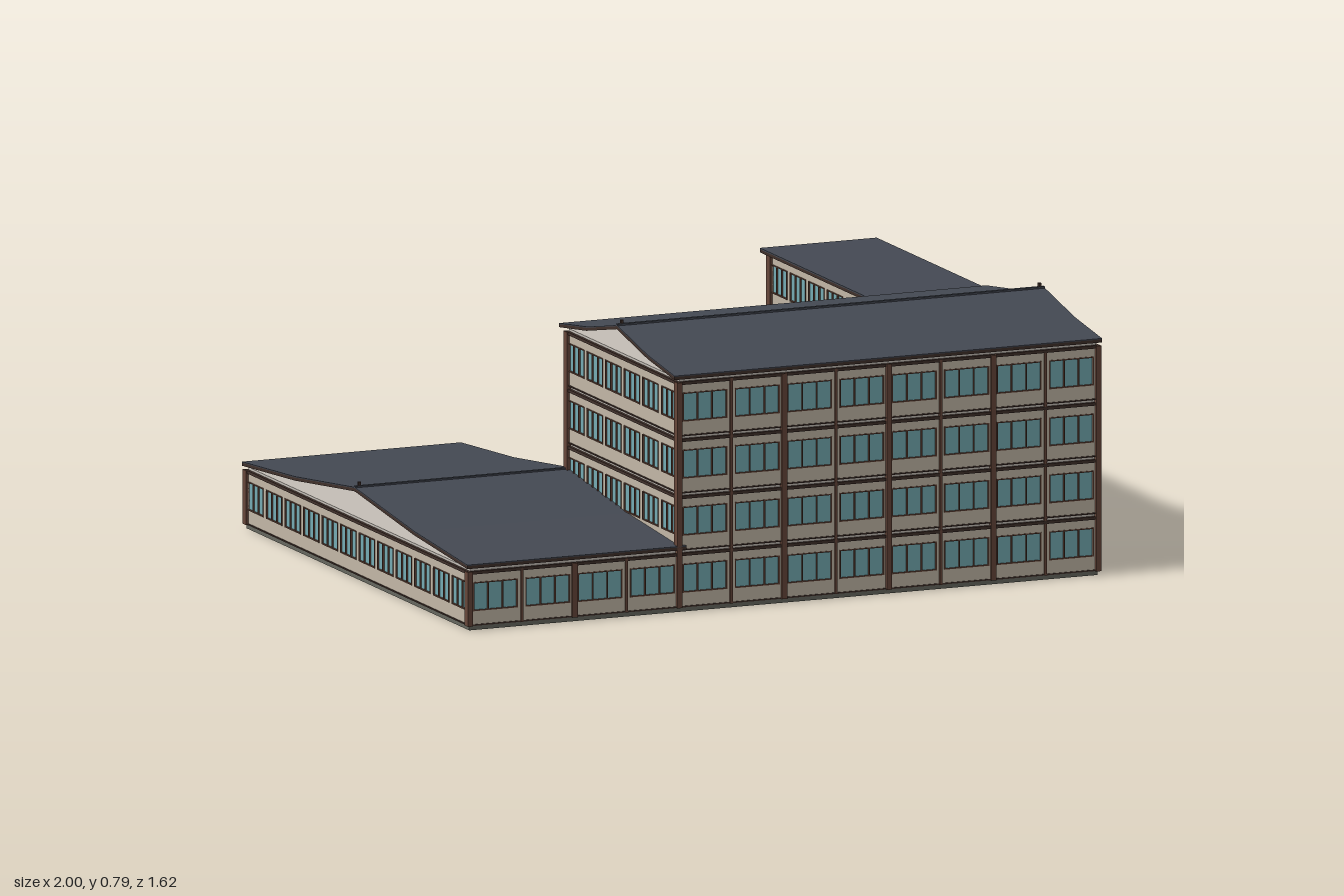
import * as THREE from 'three';
import { mergeGeometries } from 'three/addons/utils/BufferGeometryUtils.js';

const BASE = 0.0125, STOREY = 0.168;

export function createModel() {
  const model = new THREE.Group();
  model.name = 'courtyardBuilding';

  const colours = {
    slate: 0x444953, wall: 0xc2b7a6, glass: 0x74abb3, timber: 0x66473a,
    darkTimber: 0x40302a, concrete: 0xc4beb6, ground: 0x66685f, paving: 0x5f6463,
  };
  const mats = {};
  for (const [name, hex] of Object.entries(colours)) {
    mats[name] = new THREE.MeshStandardMaterial({ color: hex });
    mats[name].name = name;
  }

  // box given by its min and max corners
  const box = (x0, x1, y0, y1, z0, z1) =>
    new THREE.BoxGeometry(x1 - x0, y1 - y0, z1 - z0)
      .translate((x0 + x1) / 2, (y0 + y1) / 2, (z0 + z1) / 2);

  const add = (parent, name, geometry, mat) => {
    const mesh = new THREE.Mesh(geometry, mats[mat]);
    mesh.name = name;
    parent.add(mesh);
    return mesh;
  };

  // wall running from a to b, facing local +z, split into storeys and bays
  function wall(name, [ax, az], [bx, bz], bays, first, last, { pillars = false, open = [] } = {}) {
    const group = new THREE.Group();
    group.name = name;
    const len = Math.hypot(bx - ax, bz - az), w = len / bays, m = w * 0.0725;
    const parts = { wall: [], glass: [], timber: [], darkTimber: [] };
    const T = -0.016; // inner face of the wall

    for (let f = first; f <= last; f++) {
      const y = BASE + STOREY * f, sill = y + 0.043, head = y + 0.128, top = y + 0.152;
      // beam above the storey and rail at its foot
      parts.darkTimber.push(box(-0.003, len + 0.003, top, top + 0.009, T, 0.005));
      parts.darkTimber.push(box(0, len, y, y + 0.004, T, 0.003));
      for (let i = 0; i < bays; i++) {
        const x0 = i * w, x1 = x0 + w, l = x0 + m, r = x1 - m;
        const isOpen = f === 0 && open.includes(i);
        // wall around the opening
        parts.wall.push(box(x0, l, y, top, T, 0), box(r, x1, y, top, T, 0));
        parts.wall.push(box(l, r, head, top, T, 0));
        if (isOpen) {
          for (const x of [l, r - 0.006]) parts.timber.push(box(x, x + 0.006, y, head, T, 0.003));
          continue;
        }
        parts.wall.push(box(l, r, y, sill, T, 0));
        // glass, frame and mullions
        parts.glass.push(box(l, r, sill, head, -0.009, -0.003));
        const t = 0.0035;
        for (const yy of [sill, head - t]) parts.timber.push(box(l, r, yy, yy + t, -0.011, 0.002));
        for (const k of [0, 1 / 3, 2 / 3, 1]) {
          const x = l + t / 2 + (r - l - t) * k;
          parts.timber.push(box(x - t / 2, x + t / 2, sill, head, -0.011, 0.002));
        }
      }
    }
    if (pillars) {
      // every second pillar is a heavy one
      const y0 = BASE + STOREY * first, y1 = BASE + STOREY * last + 0.16;
      for (let i = 0; i <= bays; i++) {
        const h = i % 2 ? 0.004 : 0.008, d = i % 2 ? 0.005 : 0.01;
        parts.timber.push(box(i * w - h, i * w + h, y0, y1, T, d));
      }
    }
    const labels = { wall: 'Panels', glass: 'Windows', timber: 'Frames', darkTimber: 'Beams' };
    for (const key in parts) add(group, name + labels[key], mergeGeometries(parts[key]), key);
    group.position.set(ax, 0, az);
    group.rotation.y = Math.atan2(az - bz, bx - ax);
    model.add(group);
  }

  // floor slabs closing each storey from above
  function slabs(name, x0, x1, z0, z1, first, last) {
    const list = [];
    for (let f = first; f <= last; f++) {
      const y = BASE + STOREY * (f + 1);
      list.push(box(x0, x1, y - 0.0075, y, z0, z1));
    }
    add(model, name, mergeGeometries(list), 'concrete');
  }

  // open-ended gable roof, its ridge along x, with a slight kick at the eaves
  function gableRoof(name, x0, x1, z0, z1, eave, rise) {
    const group = new THREE.Group();
    group.name = name;
    const half = (z1 - z0) / 2, zc = (z0 + z1) / 2;
    const layer = (base, thick) => {
      const line = [[-half, 0], [-half * 0.53, rise * 0.36], [0, rise], [half * 0.53, rise * 0.36], [half, 0]];
      const pts = [
        ...line.map(([x, y]) => new THREE.Vector2(x, y + base)),
        ...line.reverse().map(([x, y]) => new THREE.Vector2(x, y + base + thick)),
      ];
      return new THREE.ExtrudeGeometry(new THREE.Shape(pts), { depth: x1 - x0, bevelEnabled: false })
        .rotateY(Math.PI / 2).translate(x0, 0, zc);
    };
    add(group, name + 'Boards', layer(eave - 0.004, 0.009), 'darkTimber');
    add(group, name + 'Slates', layer(eave + 0.005, 0.003), 'slate');
    // ridge cap and end finials
    const top = eave + rise + 0.006;
    add(group, name + 'Ridge', box(x0, x1, top - 0.004, top + 0.006, zc - 0.006, zc + 0.006), 'slate');
    for (const x of [x0 + 0.015, x1 - 0.015])
      add(group, name + 'Finial', box(x - 0.004, x + 0.004, top, top + 0.017, zc - 0.004, zc + 0.004), 'darkTimber');
    model.add(group);
  }

  // ground slab and courtyard paving
  add(model, 'groundSlab', box(-0.99, 0.99, 0, BASE, -0.8, 0.8), 'ground');
  const pavers = [];
  for (let i = 0; i < 16; i++)
    for (let j = 0; j < 20; j++) {
      const x = -0.32 + i * 0.04, z = -0.79 + j * 0.039;
      pavers.push(box(x + 0.001, x + 0.039, BASE - 0.001, BASE + 0.002, z + 0.001, z + 0.038));
    }
  add(model, 'courtyardPaving', mergeGeometries(pavers), 'paving');

  // front and outer walls
  const P = { pillars: true };
  wall('frontLowWall', [-0.99, 0.8], [-0.33, 0.8], 4, 0, 0, P);
  wall('frontTallWall', [-0.33, 0.8], [0.99, 0.8], 8, 0, 3, P);
  wall('leftOuterWall', [0.99, 0.8], [0.99, -0.8], 12, 0, 3);
  wall('rightOuterWall', [-0.99, -0.8], [-0.99, 0.8], 12, 0, 0);
  wall('mainSideWall', [-0.33, 0], [-0.33, 0.8], 6, 1, 3);

  // walls around the courtyard
  wall('mainRearWall', [0.66, 0], [-0.33, 0], 6, 0, 3, { pillars: true, open: [2, 4] });
  wall('wingInnerWall', [0.66, -0.8], [0.66, 0], 6, 1, 3);
  wall('annexInnerWall', [0.33, -0.8], [0.33, 0], 6, 0, 0);
  wall('lowWingInnerWall', [-0.33, 0], [-0.33, -0.8], 6, 0, 0);

  // rear end walls
  wall('wingEndWall', [0.99, -0.8], [0.66, -0.8], 2, 0, 3, { pillars: true, open: [0] });
  wall('annexEndWall', [0.66, -0.8], [0.33, -0.8], 2, 0, 0, { pillars: true, open: [0] });
  wall('lowWingEndWall', [-0.33, -0.8], [-0.99, -0.8], 4, 0, 0, { pillars: true, open: [0, 2] });

  // floors
  slabs('mainFloors', -0.326, 0.986, 0.004, 0.796, 0, 3);
  slabs('wingFloors', 0.664, 0.986, -0.796, 0.004, 0, 3);
  slabs('annexCeiling', 0.334, 0.664, -0.796, 0, 0, 0);
  slabs('lowWingCeiling', -0.986, -0.334, -0.796, 0.796, 0, 0);

  // roofs
  gableRoof('mainRoof', -0.347, 1, -0.02, 0.81, 0.69, 0.072);
  gableRoof('lowWingRoof', -1, -0.31, -0.81, 0.81, 0.187, 0.077);
  gableRoof('annexRoof', 0.31, 0.656, -0.81, -0.012, 0.187, 0.072);
  add(model, 'wingRoofBoards', box(0.632, 1, 0.677, 0.686, -0.81, -0.002), 'darkTimber');
  add(model, 'wingRoofSlates', box(0.632, 1, 0.686, 0.69, -0.81, -0.002), 'slate');

  return model;
}
